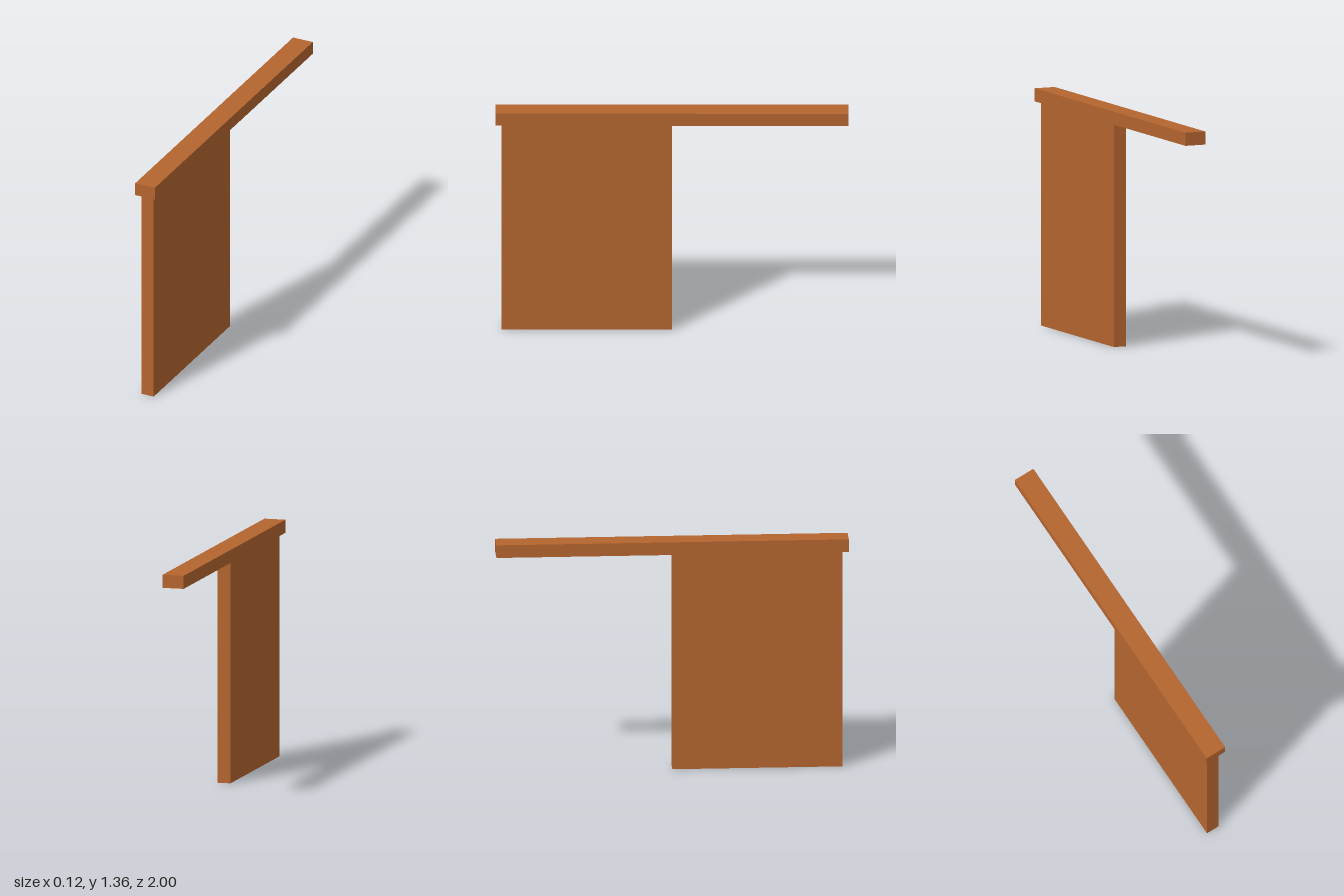
import * as THREE from 'three';

export function createModel() {
  const model = new THREE.Group();
  const wood = new THREE.MeshStandardMaterial({ color: 0xb5652f });
  wood.name = 'brownWood';

  const add = (name, geometry, x, y, z) => {
    const mesh = new THREE.Mesh(geometry, wood);
    mesh.name = name;
    mesh.position.set(x, y, z);
    model.add(mesh);
    return mesh;
  };

  const railHalf = 0.0625, slotHalf = 0.038, slotEnd = 0.966;
  const railBottom = 1.28, slotTop = 1.33, railTop = 1.355;

  // Sliding panel, its top edge running inside the rail's slot
  add('slidingPanel', new THREE.BoxGeometry(slotHalf * 2, slotTop, slotEnd), 0, slotTop / 2, slotEnd / 2);

  // Rail: a rim around a long slot that is open below, closed by a cap
  const rectangle = (Type, w, h) =>
    new Type([[-w, -h], [w, -h], [w, h], [-w, h]].map(([x, y]) => new THREE.Vector2(x, y)));
  const outline = rectangle(THREE.Shape, railHalf, 1);
  outline.holes.push(rectangle(THREE.Path, slotHalf, slotEnd));
  const rim = new THREE.ExtrudeGeometry(outline, { depth: slotTop - railBottom, bevelEnabled: false });
  rim.rotateX(-Math.PI / 2);
  add('railRim', rim, 0, railBottom, 0);
  add('railCap', new THREE.BoxGeometry(railHalf * 2, railTop - slotTop, 2), 0, (railTop + slotTop) / 2, 0);

  return model;
}
